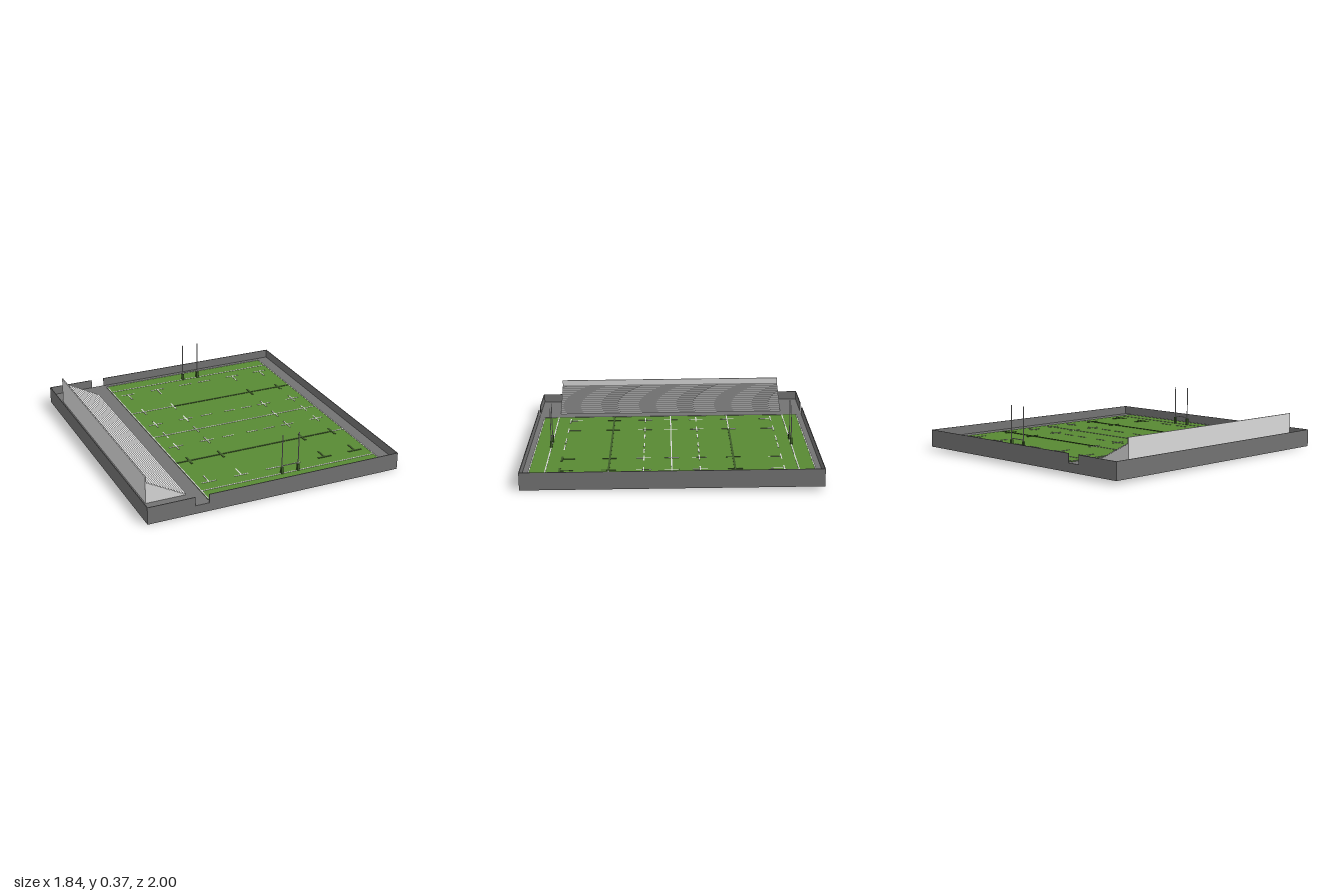
import * as THREE from 'three';

const white = new THREE.MeshStandardMaterial({ color: 0xd7d7d7 }); white.name = 'paleGrey';
const grey = new THREE.MeshStandardMaterial({ color: 0x727272 }); grey.name = 'concreteGrey';
const green = new THREE.MeshStandardMaterial({ color: 0x588933 }); green.name = 'grassGreen';
const darkGreen = new THREE.MeshStandardMaterial({ color: 0x3d5c28 }); darkGreen.name = 'darkGreen';

const FLOOR = 0.06, GRASS = 0.064, RIM = 0.122;

// Box given by its limits on each axis
function box(parent, name, mat, x0, x1, y0, y1, z0, z1) {
  const m = new THREE.Mesh(new THREE.BoxGeometry(x1 - x0, y1 - y0, z1 - z0), mat);
  m.position.set((x0 + x1) / 2, (y0 + y1) / 2, (z0 + z1) / 2);
  m.name = name;
  parent.add(m);
  return m;
}

// Tray with thin walls; the end walls have a gap for the walkway
function makeTray() {
  const g = new THREE.Group();
  g.name = 'tray';
  const t = 0.005;
  box(g, 'floorSlab', grey, -0.92, 0.92, 0, FLOOR, -1, 1);
  for (const s of [-1, 1]) {
    const x = s * (0.92 - t / 2), z = s * (1 - t / 2);
    box(g, 'sideWall', grey, x - t / 2, x + t / 2, FLOOR, RIM, -1, 1);
    box(g, 'endWallShort', grey, -0.92 + t, -0.588, FLOOR, RIM, z - t / 2, z + t / 2);
    box(g, 'endWallLong', grey, -0.493, 0.92 - t, FLOOR, RIM, z - t / 2, z + t / 2);
  }
  return g;
}

// Stepped stand with a tall back wall, extruded along z
function makeStand() {
  const steps = 14, xBack = -0.862, xFront = -0.59, top = 0.205;
  const run = (xFront - xBack) / steps, rise = (top - FLOOR) / steps;
  const s = new THREE.Shape();
  s.moveTo(-0.87, FLOOR);
  s.lineTo(xFront, FLOOR);
  for (let i = 1; i <= steps; i++) {
    s.lineTo(xFront - (i - 1) * run, FLOOR + i * rise);
    s.lineTo(xFront - i * run, FLOOR + i * rise);
  }
  s.lineTo(xBack, 0.25);
  s.lineTo(-0.87, 0.25);
  s.closePath();
  const geo = new THREE.ExtrudeGeometry(s, { depth: 1.685, bevelEnabled: false });
  geo.translate(0, 0, -0.8425);
  const m = new THREE.Mesh(geo, white);
  m.name = 'stand';
  return m;
}

// Painted pitch markings
function makeMarkings() {
  const g = new THREE.Group();
  g.name = 'markings';
  const line = (x0, x1, z0, z1, dark = false) => {
    const w = dark ? 0.007 : 0.004, h = dark ? 0.003 : 0.002;
    const horizontal = z0 === z1;
    box(g, dark ? 'darkLine' : 'whiteLine', dark ? darkGreen : white,
      horizontal ? x0 : x0 - w, horizontal ? x1 : x1 + w, GRASS, GRASS + h,
      horizontal ? z0 - w : z0, horizontal ? z1 + w : z1);
  };
  const L = -0.48, R = 0.825, columns = [-0.383, -0.145, 0.49, 0.73];

  // Outline, goal lines and halfway line
  for (const x of [L, R]) line(x, x, -0.955, 0.955);
  for (const z of [-0.955, -0.845, 0, 0.845, 0.955]) line(L, R, z, z);

  // Quarter lines, partly dark
  line(L, -0.145, -0.423, -0.423);
  line(-0.145, 0.815, -0.423, -0.423, true);
  line(L, 0.73, 0.423, 0.423, true);
  line(0.73, R, 0.423, 0.423);

  for (const x of columns) {
    const rightHalf = x > 0.3;
    line(x, x, -0.473, -0.373, rightHalf);
    line(x, x, 0.373, 0.473, true);
    line(x, x, -0.05, 0.05);
    for (const s of [-1, 1]) {
      // Crosses near halfway, T marks near the goal lines
      line(x - 0.052, x + 0.052, s * 0.19, s * 0.19);
      line(x, x, s * 0.19 - 0.05, s * 0.19 + 0.05);
      const dark = rightHalf && s > 0;
      line(x - 0.052, x + 0.052, s * 0.75, s * 0.75, dark);
      line(x, x, s * 0.705 - 0.045, s * 0.705 + 0.045, dark);
    }
  }

  // Dashes between the columns
  for (const s of [-1, 1]) {
    for (const x of [0.02, 0.21, 0.345]) line(x - 0.042, x + 0.042, s * 0.19, s * 0.19);
    for (const x of [0.093, 0.247]) line(x - 0.052, x + 0.052, s * 0.75, s * 0.75);
  }
  return g;
}

// Goal: two tall posts, a crossbar and padded feet
function makeGoal(z) {
  const g = new THREE.Group();
  g.name = 'goal';
  const r = 0.0025;
  for (const x of [0.11, 0.232]) {
    box(g, 'post', white, x - r, x + r, GRASS, 0.35, z - r, z + r);
    box(g, 'postPad', darkGreen, x - 0.008, x + 0.008, GRASS, 0.112, z - 0.008, z + 0.008);
  }
  box(g, 'crossbar', white, 0.11, 0.232, 0.119, 0.124, z - r, z + r);
  return g;
}

export function createModel() {
  const model = new THREE.Group();
  model.name = 'sportsGround';
  const ground = new THREE.Group();
  ground.name = 'ground';
  ground.add(makeTray(), makeStand(), makeMarkings(), makeGoal(-0.845), makeGoal(0.845));
  box(ground, 'grass', green, -0.484, 0.829, FLOOR, GRASS, -0.959, 0.959);
  // The whole ground tips slightly down toward the front
  ground.rotation.x = 0.0115;
  ground.position.y = 0.0115;
  model.add(ground);
  return model;
}
